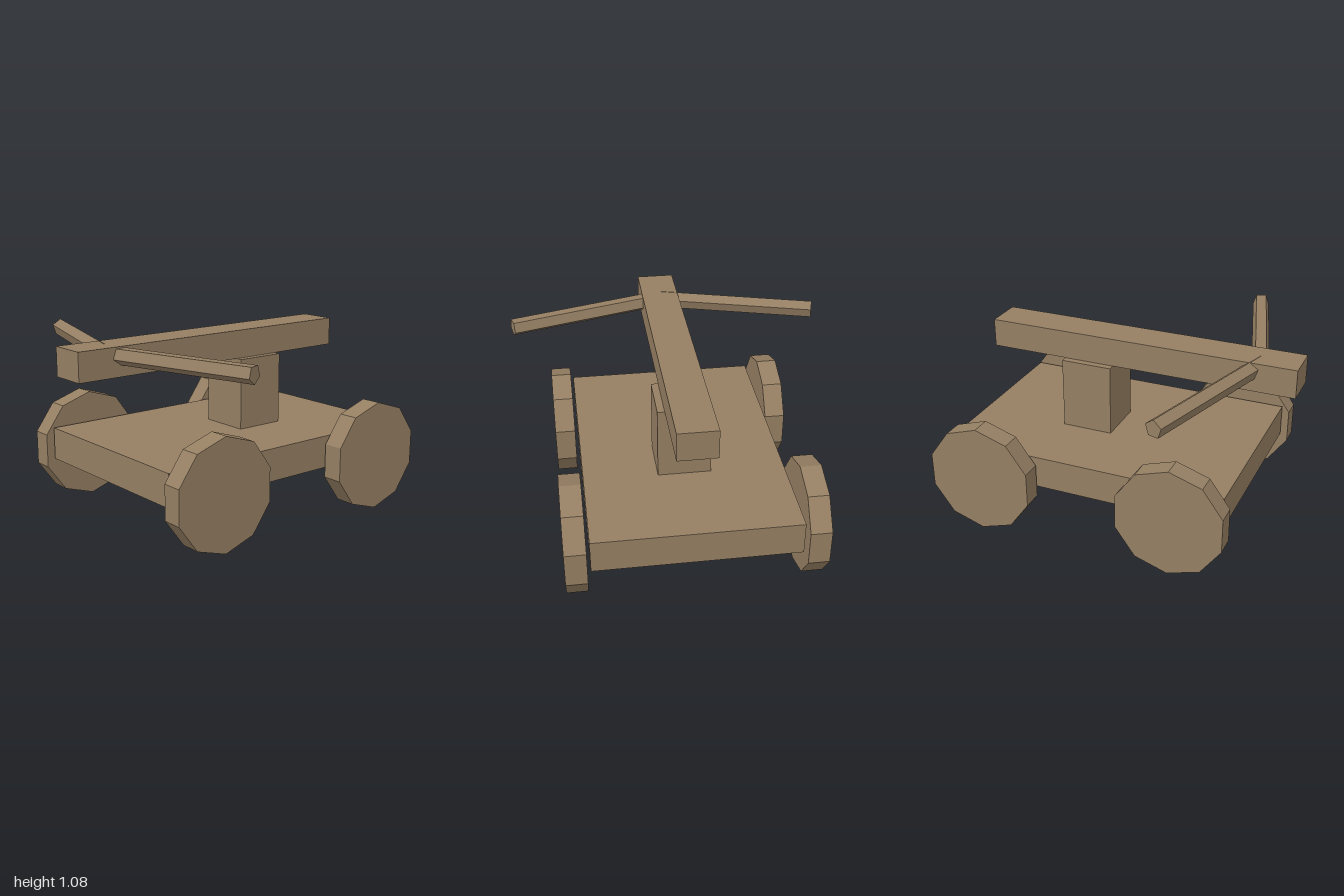
import * as THREE from 'three';

export function createModel() {
  const model = new THREE.Group();
  const wood = new THREE.MeshStandardMaterial({ color: 0x957f63, flatShading: true });
  wood.name = 'wood';

  const add = (name, geometry, x, y, z) => {
    const mesh = new THREE.Mesh(geometry, wood);
    mesh.name = name;
    mesh.position.set(x, y, z);
    model.add(mesh);
    return mesh;
  };
  // Box given by its width and its y and z ranges, centred on x = 0
  const block = (name, width, y0, y1, z0, z1) =>
    add(name, new THREE.BoxGeometry(width, y1 - y0, z1 - z0), 0, (y0 + y1) / 2, (z0 + z1) / 2);
  // Prism lying along x, with one corner pointing straight down or up
  const prism = (radius, length, sides, cornerDown = true) =>
    new THREE.CylinderGeometry(radius, radius, length, sides, 1, false,
      cornerDown ? Math.PI / 2 : -Math.PI / 2).rotateZ(-Math.PI / 2);

  // Frame
  block('deck', 1.174, 0.28, 0.475, -0.965, 0.765);
  block('post', 0.31, 0.475, 0.905, -0.41, -0.1);
  block('beam', 0.226, 0.905, 1.075, -0.885, 1);

  for (const side of [1, -1]) {
    const label = side > 0 ? 'left' : 'right';
    // Ten-sided wheels
    add(label + 'FrontWheel', prism(0.33, 0.122, 10), side * 0.667, 0.33, 0.492);
    add(label + 'BackWheel', prism(0.33, 0.122, 10), side * 0.667, 0.33, -0.688);
    // Five-sided bow arms, swept back from the beam
    const arm = add(label + 'Arm', prism(0.0525, 0.977, 5, side > 0),
      side * 0.47, side > 0 ? 1.0225 : 1.024, 0.6235);
    arm.rotation.y = side * 0.283;
  }
  return model;
}
